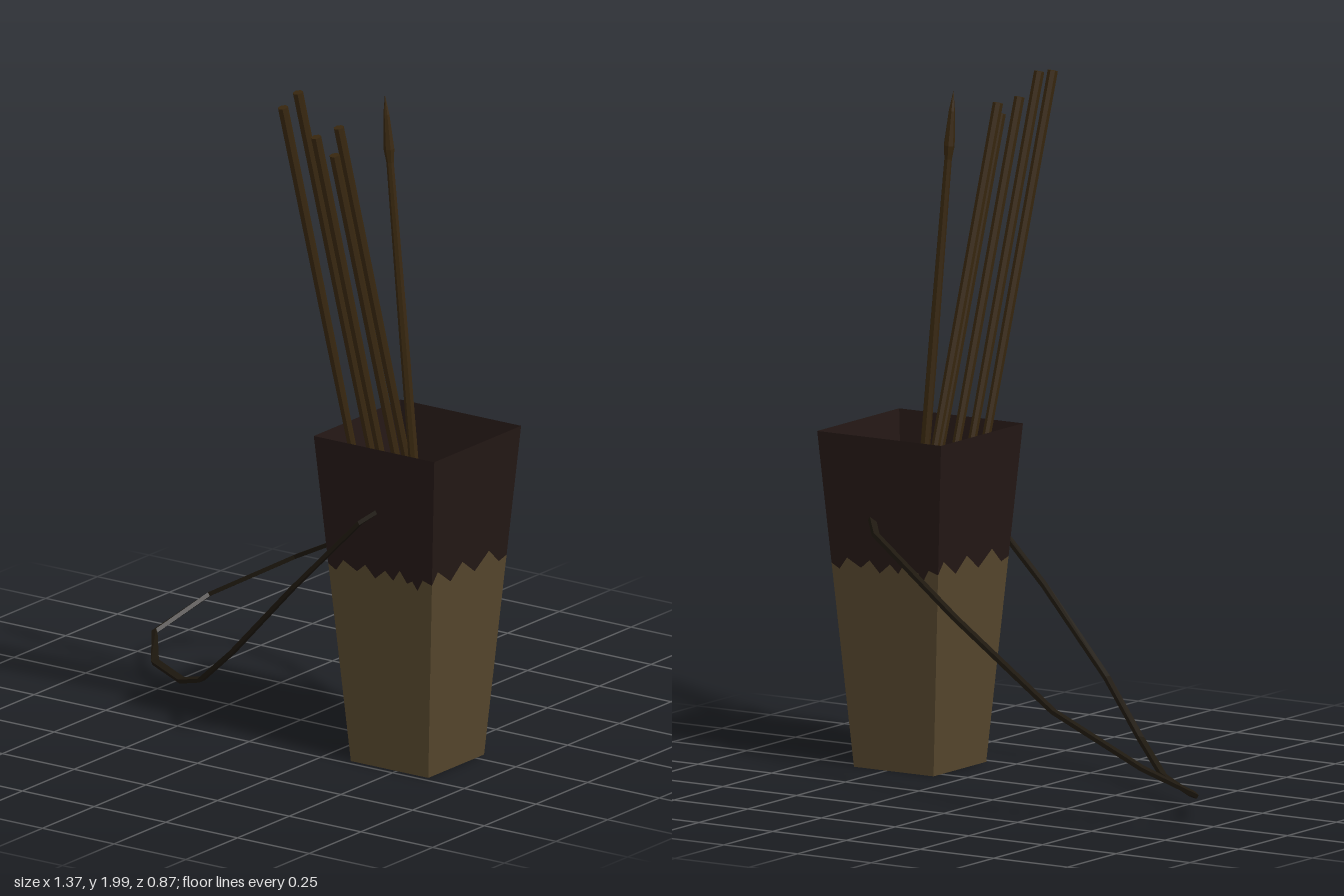
import * as THREE from 'three';

const mat = (color) => new THREE.MeshStandardMaterial({ color, flatShading: true, side: THREE.DoubleSide });
const leather = mat(0x56472d), fur = mat(0x241815), wood = mat(0x38270f), cord = mat(0x1e180f);

const BOTTOM = 0.01, TOP = 0.98;
// half width of the tapering quiver at height y
const halfAt = (y) => 0.135 + 0.075 * (y - BOTTOM) / (TOP - BOTTOM);

// jagged fur edges [u, y], u from -1 to 1 across a side
const wideEdge = [[-1, 0.6], [-0.86, 0.585], [-0.7, 0.62], [-0.45, 0.595], [-0.28, 0.62], [-0.1, 0.585],
  [0.1, 0.615], [0.25, 0.59], [0.38, 0.625], [0.52, 0.59], [0.62, 0.6], [0.72, 0.575], [0.82, 0.61], [1, 0.6]];
const toothEdge = [[-1, 0.6], [-0.85, 0.635], [-0.5, 0.59], [-0.2, 0.635], [0.15, 0.59],
  [0.5, 0.635], [0.8, 0.59], [1, 0.6]];

// one strip of a side: the jagged edge closed off at height yEnd
function sidePanel(edge, yEnd, material, name, turn) {
  const points = [...edge, [1, yEnd], [-1, yEnd]].map(([u, y]) => new THREE.Vector2(u, y));
  const geo = new THREE.ShapeGeometry(new THREE.Shape(points));
  const pos = geo.attributes.position;
  for (let i = 0; i < pos.count; i++) {
    const y = pos.getY(i), h = halfAt(y);
    pos.setXYZ(i, pos.getX(i) * h, y, h);
  }
  geo.computeVertexNormals();
  const mesh = new THREE.Mesh(geo, material);
  mesh.name = name;
  mesh.rotation.y = turn;
  return mesh;
}

function createQuiver() {
  const quiver = new THREE.Group();
  quiver.name = 'quiver';
  for (let i = 0; i < 4; i++) {
    const edge = i % 2 ? toothEdge : wideEdge;
    quiver.add(sidePanel(edge, BOTTOM, leather, 'leatherWall', i * Math.PI / 2));
    quiver.add(sidePanel(edge, TOP, fur, 'furCollar', i * Math.PI / 2));
  }
  const base = new THREE.Mesh(new THREE.PlaneGeometry(0.27, 0.27), leather);
  base.name = 'base';
  base.rotation.x = Math.PI / 2;
  base.position.y = BOTTOM;
  quiver.add(base);
  quiver.position.set(0.475, 0, 0.095);
  return quiver;
}

// shaft with a blunt end at "blunt" and a tapered point at "tip"
function createArrow(blunt, tip) {
  const a = new THREE.Vector3(...blunt), b = new THREE.Vector3(...tip);
  const dir = b.clone().sub(a), len = dir.length();
  const profile = [[0, 0], [0.015, 0], [0.014, len * 0.5], [0.011, len - 0.2], [0.016, len - 0.16], [0.009, len - 0.06], [0, len]]
    .map(([r, y]) => new THREE.Vector2(r, y));
  const arrow = new THREE.Mesh(new THREE.LatheGeometry(profile, 7), wood);
  arrow.name = 'arrow';
  arrow.position.copy(a);
  arrow.quaternion.setFromUnitVectors(new THREE.Vector3(0, 1, 0), dir.normalize());
  return arrow;
}

// flat band swept along a kinked loop
function createStrap() {
  const path = [[0.575, 0.77, -0.02], [0.46, 0.71, -0.155], [0.09, 0.535, -0.31], [-0.325, 0.325, -0.43],
    [-0.585, 0.18, -0.37], [-0.672, 0.09, -0.225], [-0.57, 0.055, -0.085], [-0.375, 0.072, 0.055],
    [-0.21, 0.14, 0.19], [-0.03, 0.28, 0.29], [0.2, 0.52, 0.315], [0.43, 0.755, 0.31], [0.51, 0.82, 0.25]]
    .map((p) => new THREE.Vector3(...p));
  const normal = new THREE.Vector3(-0.49, 0.87, 0).normalize();
  const corners = [[1, 1], [-1, 1], [-1, -1], [1, -1]];
  const verts = [], index = [];
  path.forEach((p, i) => {
    const t = path[Math.min(i + 1, path.length - 1)].clone().sub(path[Math.max(i - 1, 0)]).normalize();
    const w = t.cross(normal).normalize();
    for (const [u, v] of corners) {
      verts.push(...p.clone().addScaledVector(w, 0.01 * u).addScaledVector(normal, 0.006 * v).toArray());
    }
    if (i === 0) return;
    for (let j = 0; j < 4; j++) {
      const k = (j + 1) % 4, a = (i - 1) * 4, b = i * 4;
      index.push(a + j, b + j, a + k, a + k, b + j, b + k);
    }
  });
  const geo = new THREE.BufferGeometry();
  geo.setAttribute('position', new THREE.Float32BufferAttribute(verts, 3));
  geo.setIndex(index);
  geo.computeVertexNormals();
  const strap = new THREE.Mesh(geo, cord);
  strap.name = 'strap';
  return strap;
}

export function createModel() {
  const model = new THREE.Group();
  model.name = 'quiverWithArrows';
  model.add(createQuiver(), createStrap());

  // five arrows lean out point down
  const ends = [[0.22, 1.995, 0.32], [0.24, 1.98, 0.42], [0.33, 1.9, 0.385], [0.38, 1.85, 0.365], [0.33, 1.9, 0.275]];
  for (const [x, y, z] of ends) model.add(createArrow([x, y, z], [x + 0.122, y - 1.45, z - 0.295]));
  // one arrow stands point up
  model.add(createArrow([0.49, 0.5, 0.083], [0.365, 1.96, 0.1]));
  return model;
}
